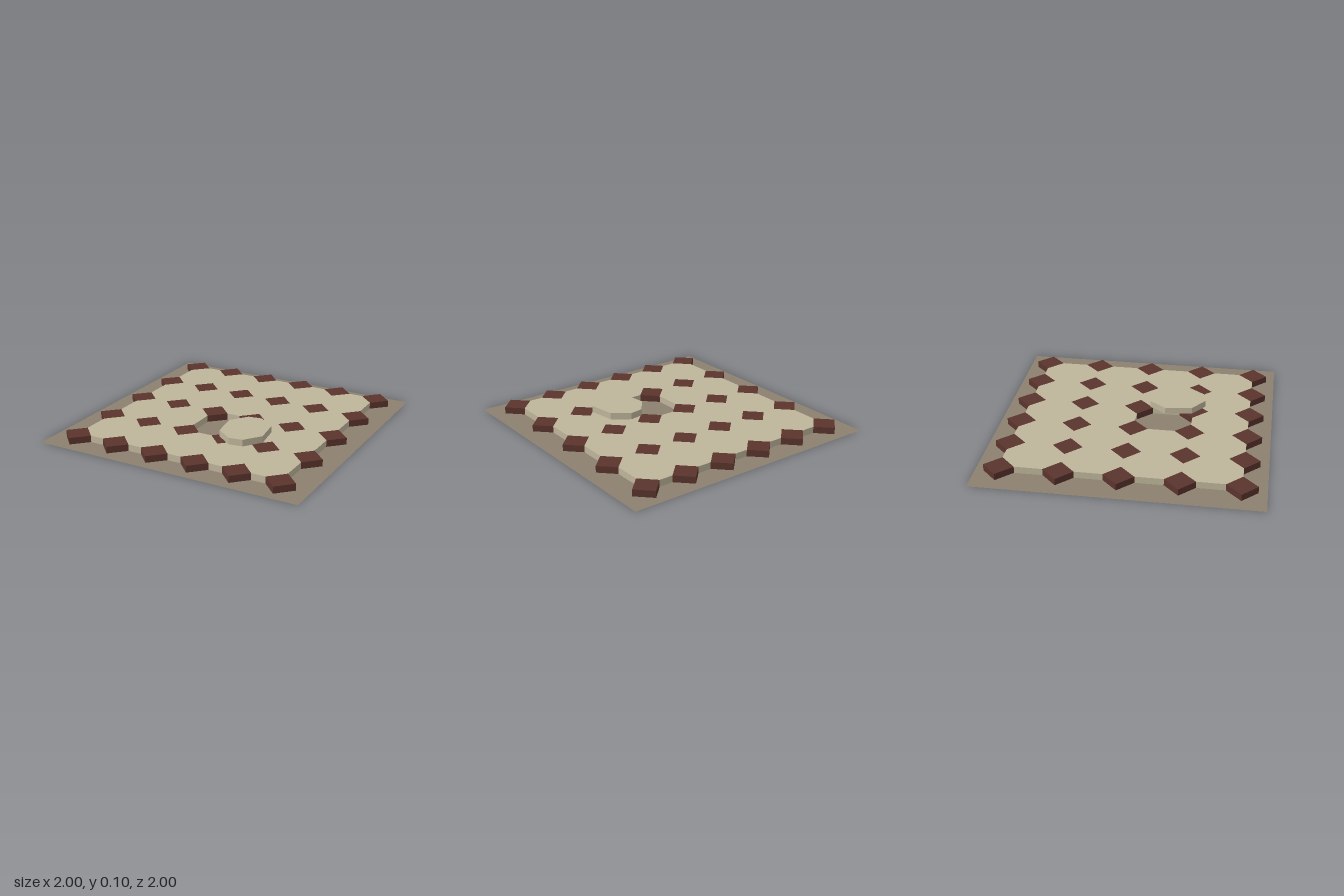
import * as THREE from 'three';

const PITCH_X = 0.319, PITCH_Z = 0.415; // spacing of the tile grid
const CUT = 0.108;                      // corner cut, also the half diagonal of a diamond
const THICK = 0.049, BED = 0.003;       // tile thickness and bedding height

// Upright prism over a plan outline given as [x, z] corners
function prism(corners) {
  const shape = new THREE.Shape(corners.map(([x, z]) => new THREE.Vector2(x, -z)));
  const geometry = new THREE.ExtrudeGeometry(shape, { depth: THICK, bevelEnabled: false });
  return geometry.rotateX(-Math.PI / 2);
}

export function createModel() {
  const model = new THREE.Group();
  model.name = 'tiledFloor';

  const mortar = new THREE.MeshStandardMaterial({ name: 'mortar brown', color: 0x8c8070, side: THREE.DoubleSide });
  const cream = new THREE.MeshStandardMaterial({ name: 'cream stone', color: 0xbfb59b });
  const maroon = new THREE.MeshStandardMaterial({ name: 'maroon stone', color: 0x5a342d });

  const a = PITCH_X / 2, b = PITCH_Z / 2, c = CUT;
  const octagon = prism([
    [a, b - c], [a, c - b], [a - c, -b], [c - a, -b],
    [-a, c - b], [-a, b - c], [c - a, b], [a - c, b],
  ]);
  const diamond = prism([[c, 0], [0, -c], [-c, 0], [0, c]]);

  const add = (name, geometry, material, x, y, z) => {
    const mesh = new THREE.Mesh(geometry, material);
    mesh.name = name;
    mesh.position.set(x, y, z);
    model.add(mesh);
    return mesh;
  };

  // Mortar bed
  add('mortarBed', new THREE.PlaneGeometry(2, 2).rotateX(-Math.PI / 2), mortar, 0, 0, 0);

  // Octagonal tiles, with one left out
  for (let col = 0; col < 5; col++) {
    for (let row = 0; row < 4; row++) {
      if (col === 2 && row === 2) continue;
      add('octagonTile', octagon, cream, (col - 2) * PITCH_X, BED, (row - 1.5) * PITCH_Z);
    }
  }

  // Diamond insets at every grid crossing
  for (let col = 0; col < 6; col++) {
    for (let row = 0; row < 5; row++) {
      add('diamondInset', diamond, maroon, (col - 2.5) * PITCH_X, BED, (row - 2) * PITCH_Z);
    }
  }

  // Loose tile lying beside its empty slot
  const loose = add('looseTile', octagon, cream, 0.254, BED + THICK, 0.283);
  loose.rotation.y = 0.15;

  return model;
}
